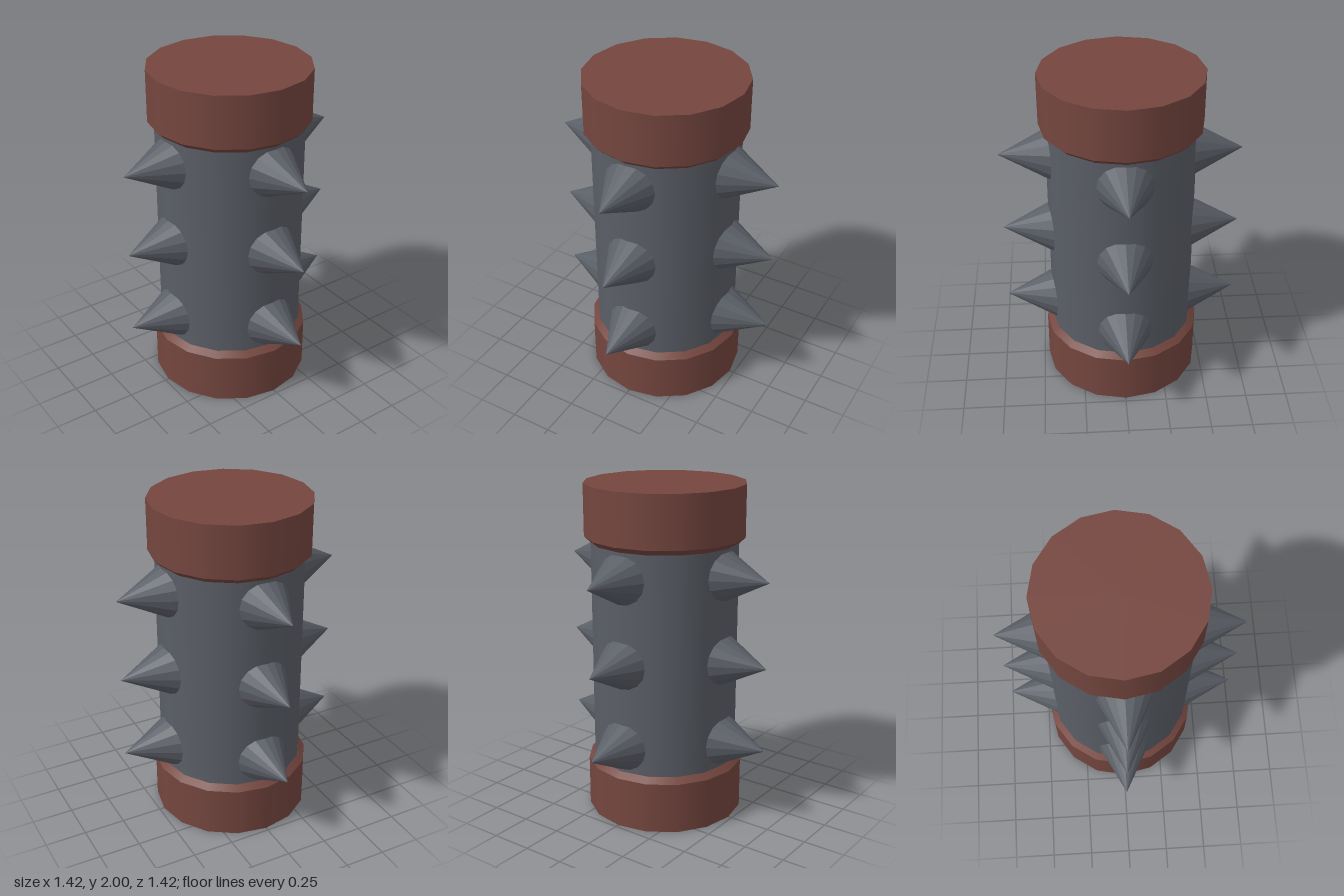
import * as THREE from 'three';

const SIDES = 16;

export function createModel() {
  const model = new THREE.Group();
  model.name = 'spikedPillar';

  const iron = new THREE.MeshStandardMaterial({ color: 0x5a5e66 });
  iron.name = 'dark iron';
  const rust = new THREE.MeshStandardMaterial({ color: 0x75463f });
  rust.name = 'rust red';

  const add = (parent, name, geometry, material, y = 0) => {
    const mesh = new THREE.Mesh(geometry, material);
    mesh.name = name;
    mesh.position.y = y;
    parent.add(mesh);
    return mesh;
  };

  // Central shaft, running inside both end caps
  const shaft = add(model, 'shaft', new THREE.CylinderGeometry(0.437, 0.437, 1.8, SIDES), iron, 1);
  shaft.position.x = -0.003;
  shaft.position.z = -0.003;

  // End caps: a drum with a chamfer facing the shaft
  const makeCap = (name) => {
    const cap = new THREE.Group();
    cap.name = name;
    add(cap, 'drum', new THREE.CylinderGeometry(0.474, 0.474, 0.307, SIDES), rust, 0.1535);
    add(cap, 'chamfer', new THREE.CylinderGeometry(0.438, 0.474, 0.033, SIDES), rust, 0.3235);
    cap.position.set(-0.003, 0, -0.004);
    model.add(cap);
    return cap;
  };
  makeCap('bottomCap');
  const top = makeCap('topCap');
  top.rotation.x = Math.PI;
  top.position.y = 2;

  // Faceted spikes: three rows of four
  const spike = new THREE.ConeGeometry(0.172, 0.33, SIDES)
    .rotateX(Math.PI / 2)
    .translate(0, 0, 0.545)
    .toNonIndexed();
  spike.computeVertexNormals();
  for (const y of [0.495, 0.998, 1.5]) {
    for (let i = 0; i < 4; i++) {
      add(model, 'spike', spike, iron, y).rotation.y = (i * Math.PI) / 2;
    }
  }

  return model;
}
